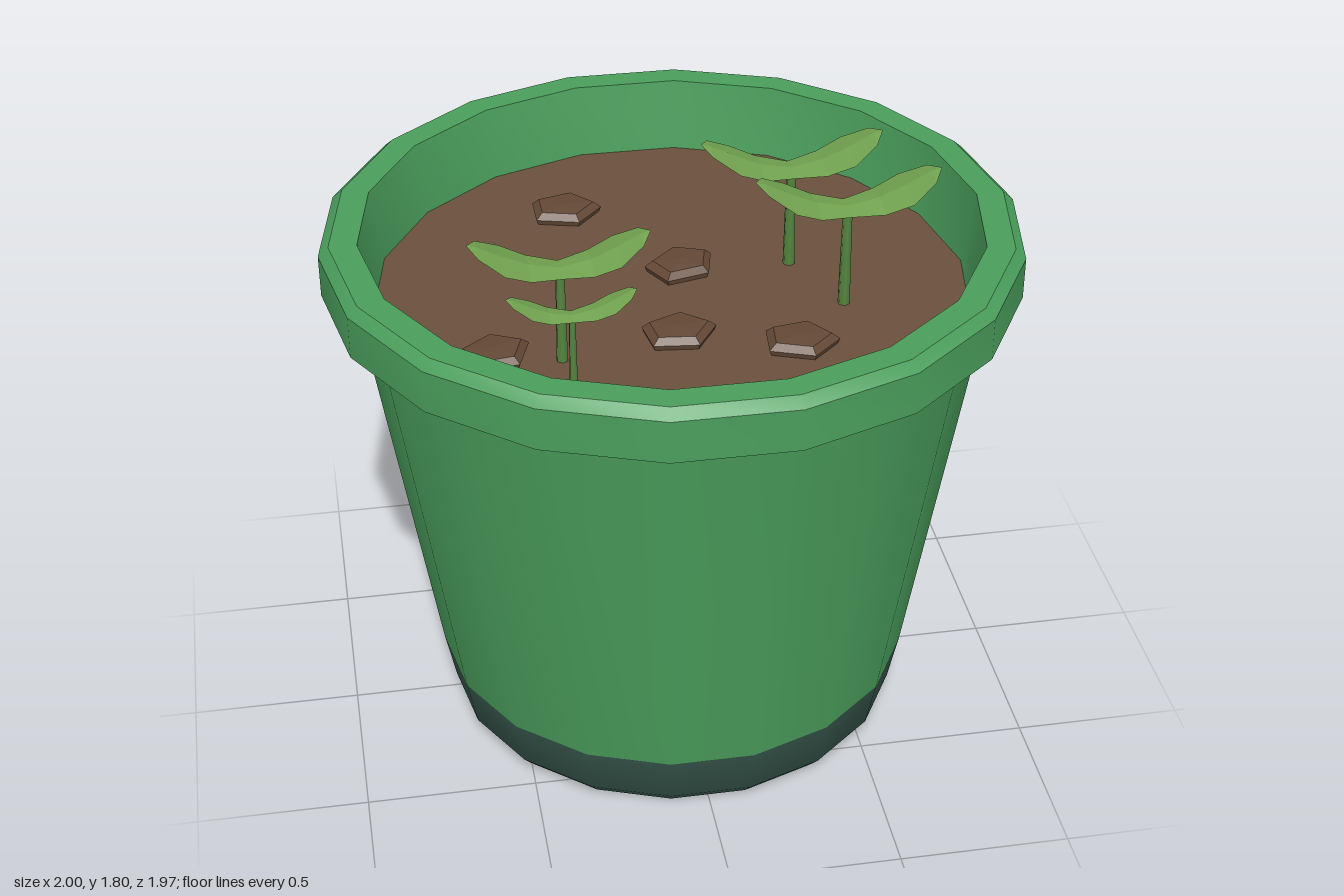
import * as THREE from 'three';
import { toCreasedNormals } from 'three/addons/utils/BufferGeometryUtils.js';

const SIDES = 18;
const SOIL_Y = 1.39;

function material(name, color, flatShading = false) {
  const m = new THREE.MeshStandardMaterial({ color, flatShading });
  m.name = name;
  return m;
}

function addMesh(parent, name, geometry, mat) {
  const mesh = new THREE.Mesh(geometry, mat);
  mesh.name = name;
  parent.add(mesh);
  return mesh;
}

// Revolved wall with a corner on the x axis and sharp profile edges
function wall(profile, crease = 0.5, sides = SIDES) {
  const points = profile.map(([r, y]) => new THREE.Vector2(r, y));
  return toCreasedNormals(new THREE.LatheGeometry(points, sides, Math.PI / 2), crease);
}

// Leaf along +x: four-point cross-sections (ridge, edge, keel, edge)
function leafGeometry() {
  const stations = [ // x, half width, edge height, ridge rise, keel drop
    [0, 0.055, -0.005, 0.008, 0.02],
    [0.09, 0.08, 0.008, 0.014, 0.012],
    [0.165, 0.094, 0.04, 0.016, 0.01],
    [0.235, 0.055, 0.083, 0.01, 0.006],
    [0.262, 0.004, 0.1, 0.001, 0.001],
  ];
  const pos = [];
  const idx = [];
  stations.forEach(([x, w, y, up, down], i) => {
    pos.push(x, y + up, 0, x, y, w, x, y - down, 0, x, y, -w);
    if (i === 0) return;
    for (let j = 0; j < 4; j++) {
      const k = (j + 1) % 4, p = (i - 1) * 4, q = i * 4;
      idx.push(p + j, p + k, q + k, p + j, q + k, q + j);
    }
  });
  const g = new THREE.BufferGeometry();
  g.setAttribute('position', new THREE.Float32BufferAttribute(pos, 3));
  g.setIndex(idx);
  const flat = g.toNonIndexed();
  flat.computeVertexNormals();
  return flat;
}

export function createModel() {
  const model = new THREE.Group();
  model.name = 'plantPot';
  const green = material('potGreen', 0x4a9e5c);
  const dark = material('baseDarkGreen', 0x35544a);
  const brown = material('soilBrown', 0x6b503d);
  const stone = material('clodBrown', 0x644936, true);
  const leafGreen = material('leafGreen', 0x72a350, true);
  const stemGreen = material('stemGreen', 0x55853f);

  // Base with rounded foot
  addMesh(model, 'base', wall([[0.645, 0], [0.685, 0.045], [0.715, 0.195]], 0.7), dark);
  addMesh(model, 'baseUnderside', new THREE.CircleGeometry(0.645, SIDES), dark).rotation.x = Math.PI / 2;

  // Tapered body, bevelled rim and inner wall
  addMesh(model, 'body', wall([[0.715, 0.195], [0.91, 1.43]]), green);
  addMesh(model, 'rim', wall([
    [0.908, 1.43], [0.93, 1.432], [1, 1.455], [1, 1.58], [0.97, 1.607], [0.89, 1.607], [0.857, SOIL_Y],
  ]), green);

  // Soil surface
  const soil = addMesh(model, 'soil', new THREE.CircleGeometry(0.86, SIDES), brown);
  soil.rotation.x = -Math.PI / 2;
  soil.position.y = SOIL_Y;

  // Five-sided clods lying on the soil: x, z, turn
  const clodGeometry = wall([[0.095, -0.02], [0.112, 0.016], [0.088, 0.035], [0, 0.04]], 0.1, 5);
  [[-0.25, -0.47, 0], [0.04, -0.085, 0.5], [-0.03, 0.28, 0.15], [0.295, 0.38, -0.1], [-0.55, 0.31, 0.4]]
    .forEach(([x, z, turn]) => {
      const clod = addMesh(model, 'soilClod', clodGeometry, stone);
      clod.position.set(x, SOIL_Y, z);
      clod.rotation.y = turn;
      clod.scale.z = 0.82;
    });

  // Seedlings: x, z, leaf base height, length scale, width scale
  const leaf = leafGeometry();
  [
    [0.357, -0.07, 1.7, 1, 1],
    [0.465, 0.178, 1.7, 1, 1],
    [-0.365, 0.348, 1.68, 0.94, 0.94],
    [-0.35, 0.47, 1.603, 0.67, 0.58],
  ].forEach(([x, z, y, s, w]) => {
    const plant = new THREE.Group();
    plant.name = 'seedling';
    plant.position.set(x, SOIL_Y, z);
    const h = y - SOIL_Y;
    const stem = addMesh(plant, 'stem', new THREE.CylinderGeometry(0.014 * s, 0.018 * s, h, 6), stemGreen);
    stem.position.y = h / 2 - 0.005;
    for (const turn of [0, Math.PI]) {
      const blade = addMesh(plant, 'leaf', leaf, leafGreen);
      blade.position.y = h;
      blade.rotation.y = turn;
      blade.scale.set(s, s * 0.98, w);
    }
    model.add(plant);
  });

  return model;
}
